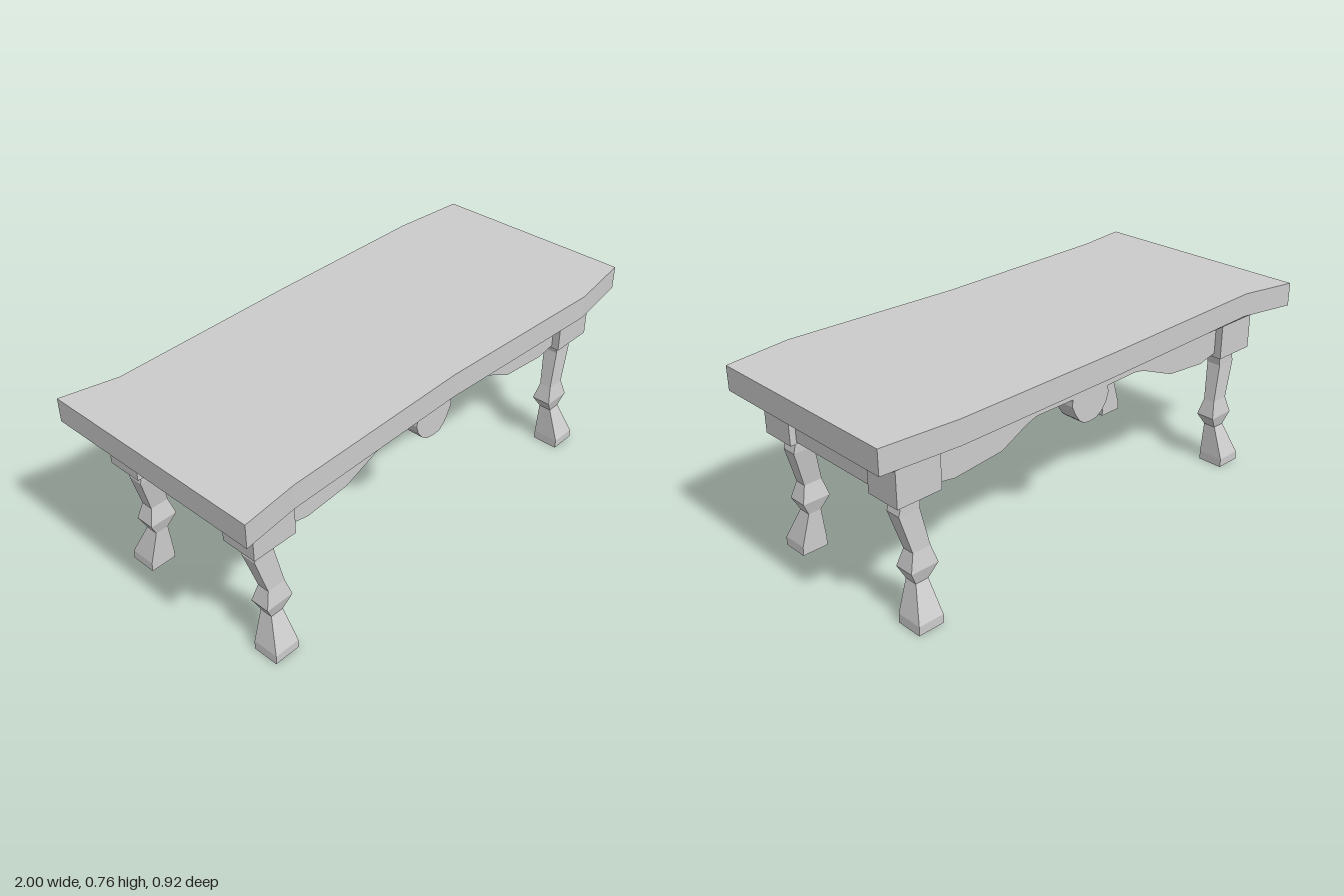
import * as THREE from 'three';

const material = new THREE.MeshStandardMaterial({ color: 0xcccccc, flatShading: true });

function part(name, geometry) {
  const mesh = new THREE.Mesh(geometry, material);
  mesh.name = name;
  return mesh;
}

// Box given by its limits on each axis
function box(name, x0, x1, y0, y1, z0, z1) {
  const g = new THREE.BoxGeometry(x1 - x0, y1 - y0, z1 - z0);
  g.translate((x0 + x1) / 2, (y0 + y1) / 2, (z0 + z1) / 2);
  return part(name, g);
}

// Prism through rectangular sections [y, xA, xB, zA, zB], listed from bottom to top
function loft(sections) {
  const positions = [];
  const index = [];
  for (const [y, xA, xB, zA, zB] of sections) {
    const x0 = Math.min(xA, xB), x1 = Math.max(xA, xB);
    const z0 = Math.min(zA, zB), z1 = Math.max(zA, zB);
    positions.push(x0, y, z1, x1, y, z1, x1, y, z0, x0, y, z0);
  }
  for (let s = 0; s < sections.length - 1; s++) {
    for (let i = 0; i < 4; i++) {
      const a = s * 4 + i, b = s * 4 + (i + 1) % 4;
      index.push(a, b, b + 4, a, b + 4, a + 4);
    }
  }
  const t = (sections.length - 1) * 4;
  index.push(0, 2, 1, 0, 3, 2, t, t + 1, t + 2, t, t + 2, t + 3);
  const g = new THREE.BufferGeometry();
  g.setAttribute('position', new THREE.Float32BufferAttribute(positions, 3));
  g.setIndex(index);
  const flat = g.toNonIndexed();
  flat.computeVertexNormals();
  return flat;
}

function extrude(points, depth) {
  const shape = new THREE.Shape(points.map(([x, y]) => new THREE.Vector2(x, y)));
  return new THREE.ExtrudeGeometry(shape, { depth, bevelEnabled: false });
}

export function createModel() {
  const table = new THREE.Group();
  table.name = 'table';

  // Top slab with a slightly wavy outline (x, z)
  const outline = [
    [-1, 0.455], [-0.78, 0.43], [0, 0.415], [0.73, 0.445], [1, 0.405],
    [1, -0.41], [0.7, -0.435], [0, -0.43], [-0.78, -0.41], [-1, -0.46],
  ];
  const top = extrude(outline.map(([x, z]) => [x, -z]), 0.093);
  top.rotateX(-Math.PI / 2);
  top.translate(0, 0.67, 0);
  table.add(part('tableTop', top));

  // Everything below the top, nudged slightly forward
  const base = new THREE.Group();
  base.name = 'base';
  base.position.z = 0.004;
  table.add(base);

  // Chamfered moulding under the top
  base.add(part('moulding', loft([
    [0.64, -0.925, 0.925, -0.378, 0.378],
    [0.655, -0.937, 0.937, -0.391, 0.391],
    [0.67, -0.937, 0.937, -0.391, 0.391],
  ])));

  // Scalloped long rails with a hanging central drop
  const railProfile = [
    [-0.74, 0.51], [-0.72, 0.506], [-0.635, 0.487], [-0.45, 0.503], [-0.285, 0.57],
    [-0.24, 0.578], [-0.09, 0.575], [-0.096, 0.55], [-0.085, 0.515], [-0.062, 0.485],
    [-0.035, 0.468], [0, 0.463], [0.03, 0.466], [0.055, 0.485], [0.075, 0.515],
    [0.092, 0.55], [0.09, 0.578], [0.27, 0.578], [0.32, 0.56], [0.43, 0.505],
    [0.64, 0.486], [0.72, 0.5], [0.74, 0.505], [0.74, 0.645], [-0.74, 0.645],
  ];
  for (const [name, z] of [['frontRail', 0.245], ['backRail', -0.329]]) {
    const g = extrude(railProfile, 0.084);
    g.translate(0, 0, z);
    base.add(part(name, g));
  }

  // Plain end rails
  base.add(box('leftRail', 0.8, 0.875, 0.497, 0.645, -0.23, 0.23));
  base.add(box('rightRail', -0.875, -0.8, 0.497, 0.645, -0.23, 0.23));

  // Leg sections: [y, inner x, outer x, inner z, outer z]
  const legSections = [
    [0, 0.75, 0.857, 0.275, 0.381],
    [0.035, 0.751, 0.855, 0.275, 0.381],
    [0.16, 0.765, 0.818, 0.275, 0.327],
    [0.213, 0.73, 0.844, 0.262, 0.34],
    [0.28, 0.749, 0.823, 0.277, 0.326],
    [0.43, 0.78, 0.865, 0.257, 0.318],
    [0.5, 0.77, 0.845, 0.257, 0.318],
  ];
  for (const sx of [1, -1]) {
    for (const sz of [1, -1]) {
      const corner = (sz > 0 ? 'front' : 'back') + (sx > 0 ? 'Left' : 'Right');
      base.add(part(corner + 'Leg', loft(legSections.map(
        ([y, xA, xB, zA, zB]) => [y, sx * xA, sx * xB, sz * zA, sz * zB]))));

      // Corner block above the leg
      const block = box(corner + 'Block', -0.09, 0.09, 0.49, 0.645, -0.0725, 0.0725);
      block.position.set(sx * 0.81, 0, sz * 0.2875);
      base.add(block);
    }
  }
  return table;
}
